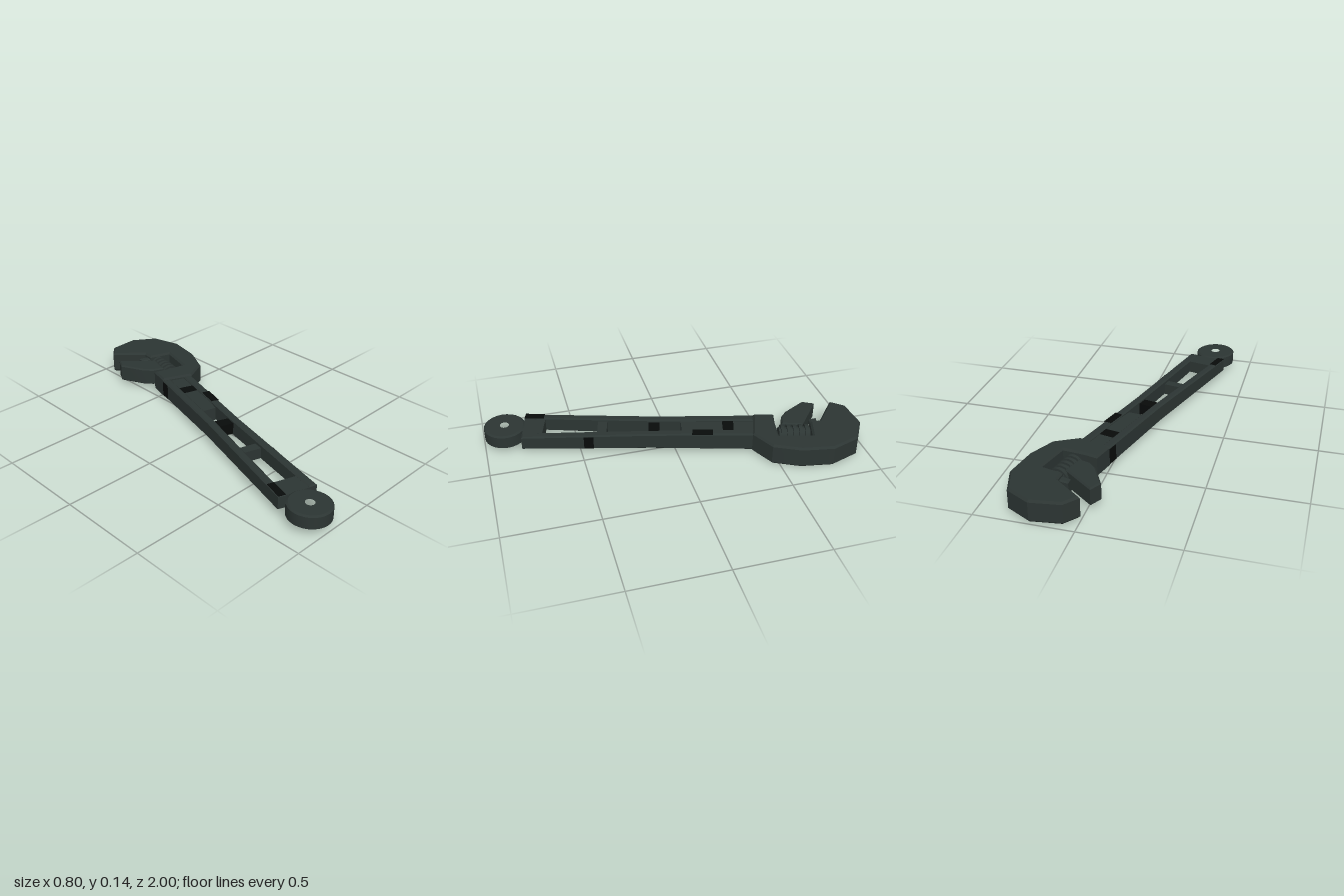
import * as THREE from 'three';
import { toCreasedNormals } from 'three/addons/utils/BufferGeometryUtils.js';

const steel = new THREE.MeshStandardMaterial({ color: 0x2c3533 });
steel.name = 'dark steel';
const black = new THREE.MeshStandardMaterial({ color: 0x080b0a });
black.name = 'black';

// The tool lies flat and is rolled slightly about its long axis
const centreY = (x, z) => 0.071 - 0.036 * (x + 0.27 * z + 0.05);
// The handle thins towards its end
const handleHalf = (z) => 0.039 + 0.0105 * (0.79 - z);

// Plate drawn as an (x, z) outline; low and high are fractions of the half thickness
function plate(name, points, half, { low = -1, high = 1, bevel = 0.008, material = steel, hole = null } = {}) {
  const shape = new THREE.Shape(points.map(([x, z]) => new THREE.Vector2(x, -z)));
  if (hole) shape.holes.push(new THREE.Path(hole.map(([x, z]) => new THREE.Vector2(x, -z))));
  const t = bevel * 18;
  const geometry = new THREE.ExtrudeGeometry(shape, {
    depth: high - low - 2 * t, steps: 1, bevelEnabled: bevel > 0, bevelSegments: 1,
    bevelSize: bevel, bevelThickness: t, bevelOffset: -bevel,
  });
  geometry.translate(0, 0, low + t).rotateX(-Math.PI / 2);
  const p = geometry.attributes.position;
  for (let i = 0; i < p.count; i++) {
    const x = p.getX(i), z = p.getZ(i);
    p.setY(i, centreY(x, z) + p.getY(i) * (typeof half === 'function' ? half(z) : half));
  }
  const mesh = new THREE.Mesh(toCreasedNormals(geometry, 0.4), material);
  mesh.name = name;
  return mesh;
}

const circle = (cx, cz, r, n) => Array.from({ length: n }, (_, i) => {
  const a = (i / n) * Math.PI * 2;
  return [cx + r * Math.cos(a), cz + r * Math.sin(a)];
});

export function createModel() {
  const model = new THREE.Group();
  model.name = 'adjustableWrench';

  // Head with the fixed jaw and the open pocket for the screw
  model.add(plate('head', [
    [0, -0.915], [0.06, -0.985], [0.22, -1], [0.35, -0.925], [0.4, -0.77], [0.37, -0.6],
    [0.3, -0.46], [0.17, -0.395], [0, -0.455], [0.03, -0.565], [0.1, -0.545], [0.22, -0.525],
    [0.265, -0.7], [0.145, -0.735], [0.15, -0.79],
  ], 0.06, { bevel: 0.01 }));
  model.add(plate('guideTab', [[0.1, -0.79], [0.17, -0.775], [0.16, -0.73], [0.1, -0.75]], 0.04));

  // Sliding jaw
  model.add(plate('slidingJaw', [
    [-0.02, -0.83], [-0.055, -0.77], [0.01, -0.645], [0.05, -0.603], [0.115, -0.58], [0.15, -0.69],
  ], 0.049));

  // Adjusting screw: core with raised threads along the tool's axis
  const screw = new THREE.Group();
  screw.name = 'adjustingScrew';
  const addRound = (name, radius, length, z) => {
    const mesh = new THREE.Mesh(new THREE.CylinderGeometry(radius, radius, length, 16).rotateX(Math.PI / 2), steel);
    mesh.name = name;
    mesh.position.z = z;
    screw.add(mesh);
  };
  addRound('screwCore', 0.044, 0.17, 0);
  for (let i = 0; i < 5; i++) addRound('screwThread', 0.056, 0.018, (i - 2) * 0.033);
  screw.rotation.y = -0.22;
  screw.position.set(0.165, 0.07, -0.635);
  model.add(screw);

  // Two handle rails
  model.add(plate('leftHandleRail', [
    [0, -0.455], [-0.14, 0.055], [-0.365, 0.755], [-0.325, 0.77], [-0.095, 0.06], [0.045, -0.44],
  ], handleHalf));
  model.add(plate('rightHandleRail', [
    [0.17, -0.4], [0.02, 0.13], [-0.15, 0.81], [-0.195, 0.8], [-0.025, 0.13], [0.125, -0.42],
  ], handleHalf));

  // Recessed web, crossbars and end block between the rails
  model.add(plate('handleWeb', [[0.02, -0.47], [0.15, -0.42], [0.015, -0.04], [-0.08, -0.06]],
    handleHalf, { low: -0.8, high: 0.8, bevel: 0 }));
  model.add(plate('upperCrossbar', [[-0.11, 0.05], [0, 0.085], [-0.015, 0.14], [-0.125, 0.11]],
    handleHalf, { low: -0.7, high: 0.7, bevel: 0, material: black }));
  model.add(plate('lowerCrossbar', [[-0.205, 0.325], [-0.09, 0.355], [-0.1, 0.405], [-0.215, 0.375]],
    handleHalf, { low: -0.7, high: 0.7, bevel: 0 }));
  model.add(plate('endBlock', [[-0.3, 0.655], [-0.165, 0.695], [-0.19, 0.8], [-0.335, 0.765]],
    handleHalf, { low: -0.85, high: 0.85, bevel: 0 }));
  model.add(plate('ringNeck', [[-0.31, 0.73], [-0.22, 0.75], [-0.24, 0.815], [-0.32, 0.8]],
    handleHalf, { low: -0.8, high: 0.8, bevel: 0 }));

  // Hanging ring
  model.add(plate('hangingRing', circle(-0.29, 0.883, 0.112, 28), 0.039,
    { bevel: 0.01, hole: circle(-0.29, 0.883, 0.035, 20) }));

  // Black patches on the web, the rail tops and the rail sides
  const patch = (name, points, low, high) =>
    model.add(plate(name, points, handleHalf, { low, high, bevel: 0, material: black }));
  patch('webPatch', [[0.015, -0.335], [0.1, -0.31], [0.08, -0.255], [0, -0.275]], 0.75, 0.85);
  patch('railTopPatch', [[0.07, -0.2], [0.11, -0.188], [0.079, -0.08], [0.04, -0.095]], 0.95, 1.03);
  patch('railEndPatch', [[-0.33, 0.655], [-0.295, 0.665], [-0.325, 0.768], [-0.363, 0.755]], 0.95, 1.03);
  patch('rightSidePatch', [[-0.053, 0.435], [-0.066, 0.485], [-0.073, 0.483], [-0.06, 0.433]], -0.82, 0.82);
  patch('leftSidePatch', [[-0.003, -0.455], [0.005, -0.453], [-0.01, -0.4], [-0.018, -0.4]], -0.82, 0.82);

  return model;
}
